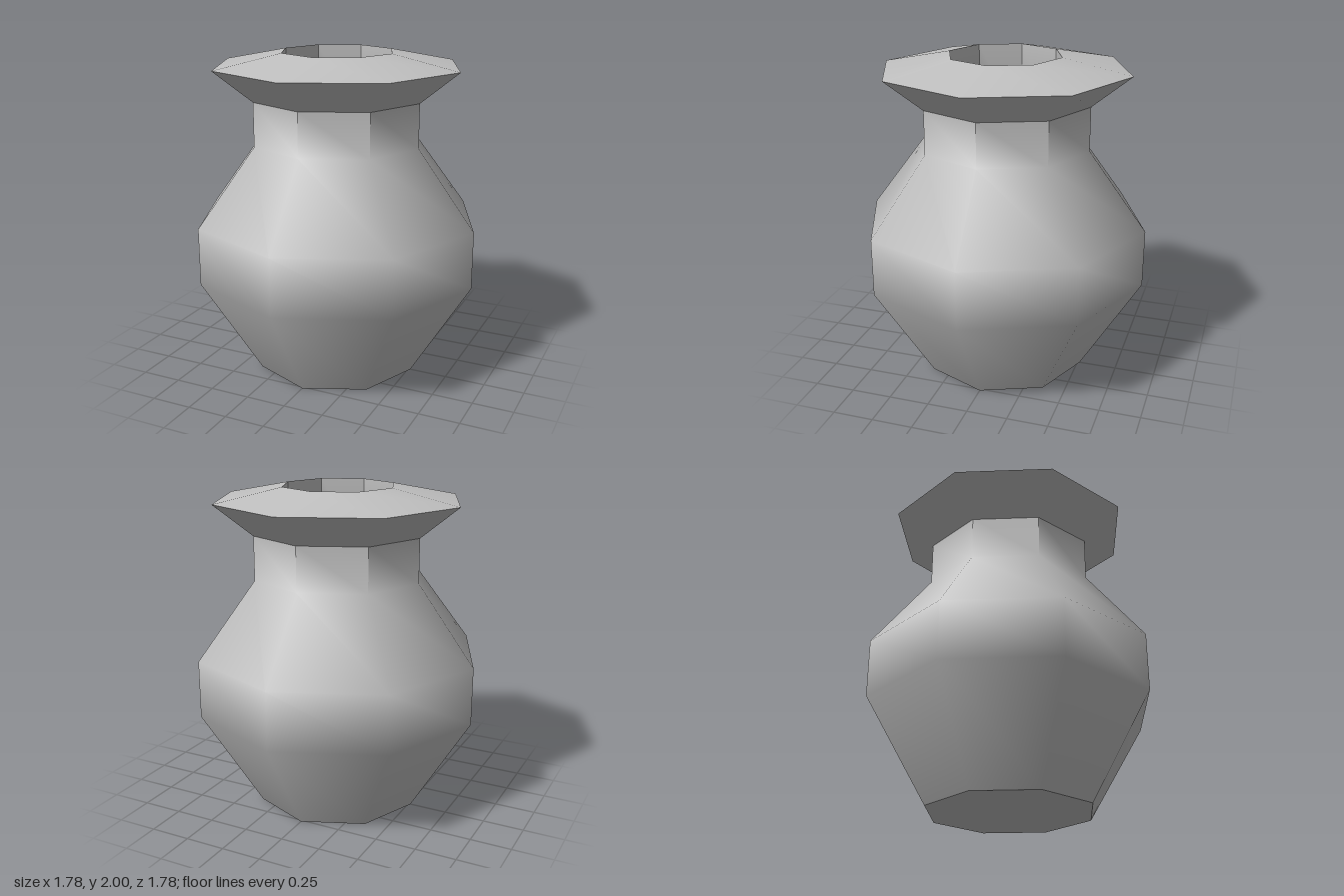
import * as THREE from 'three';

const SIDES = 8;

// Octagonal turned surface; corners at or above flatFrom get flat facet normals.
function turned(name, profile, material, flatFrom = Infinity) {
  const points = profile.map(([r, y]) => new THREE.Vector2(r, y));
  const geometry = new THREE.LatheGeometry(points, SIDES).toNonIndexed();
  const pos = geometry.attributes.position;
  const nor = geometry.attributes.normal;
  const tri = new THREE.Triangle();
  const n = new THREE.Vector3();
  for (let i = 0; i < pos.count; i += 3) {
    tri.setFromAttributeAndIndices(pos, i, i + 1, i + 2);
    tri.getNormal(n);
    for (let k = i; k < i + 3; k++) {
      if (pos.getY(k) >= flatFrom) nor.setXYZ(k, n.x, n.y, n.z);
    }
  }
  const mesh = new THREE.Mesh(geometry, material);
  mesh.name = name;
  return mesh;
}

// Octagonal disc facing up or down
function disc(name, radius, y, up, material) {
  const geometry = new THREE.CircleGeometry(radius, SIDES);
  geometry.rotateX(up ? -Math.PI / 2 : Math.PI / 2);
  const mesh = new THREE.Mesh(geometry, material);
  mesh.position.y = y;
  mesh.name = name;
  return mesh;
}

export function createModel() {
  const clay = new THREE.MeshStandardMaterial({ color: 0xc0c0c0 });
  clay.name = 'grey clay';

  const vase = new THREE.Group();
  vase.name = 'vase';
  vase.add(
    // Foot, belly, shoulder and neck, faceted only at the top of the neck
    turned('bodyAndNeck', [[0.515, 0], [0.89, 0.62], [0.89, 0.975], [0.53, 1.45], [0.53, 1.72]], clay, 1.7),
    disc('base', 0.515, 0, false, clay),
    // Flared rim
    turned('rimUnderside', [[0.53, 1.72], [0.77, 1.915]], clay),
    turned('rimTop', [[0.77, 1.915], [0.35, 2]], clay),
    // Hollow inside
    turned('innerWall', [[0.35, 2], [0.35, 1.45], [0.71, 0.95], [0.71, 0.65], [0.42, 0.15]], clay, 1.9),
    disc('innerFloor', 0.42, 0.15, true, clay),
  );
  return vase;
}
